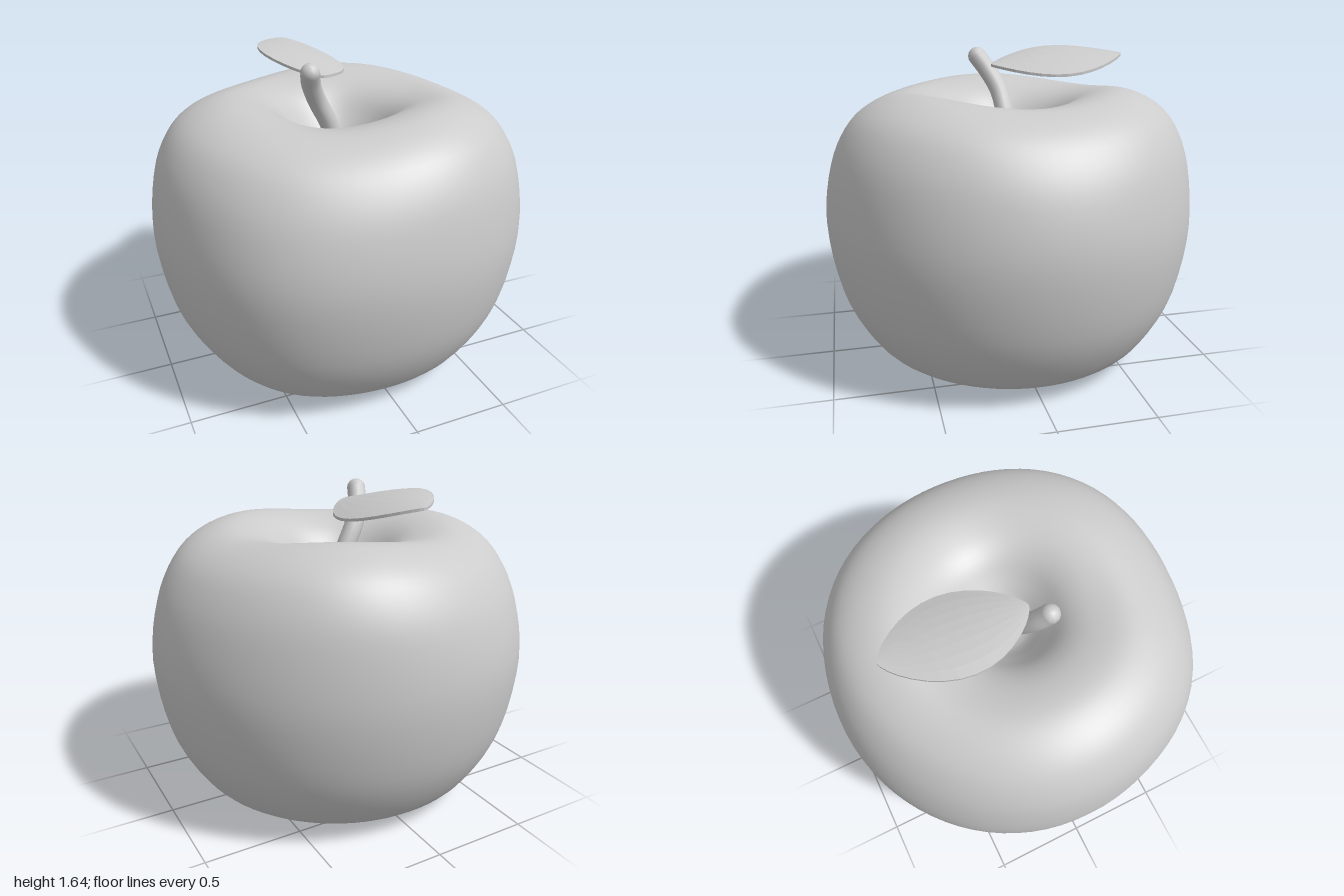
import * as THREE from 'three';
import { mergeVertices } from 'three/addons/utils/BufferGeometryUtils.js';

const material = (extra = {}) => new THREE.MeshStandardMaterial({ color: 0xcccccc, ...extra });
const rad = THREE.MathUtils.degToRad;

function addMesh(group, name, geometry, mat) {
  const mesh = new THREE.Mesh(geometry, mat);
  mesh.name = name;
  group.add(mesh);
  return mesh;
}

// Lathed fruit with a hollow at both ends, made slightly lumpy by angle
function fruitGeometry() {
  const profile = new THREE.SplineCurve([
    [0, 0.2], [0.15, 0.185], [0.3, 0.12], [0.45, 0.035], [0.57, 0.003], [0.69, 0.05], [0.81, 0.15],
    [0.94, 0.4], [1, 0.76], [0.96, 1.07], [0.87, 1.27], [0.75, 1.38], [0.59, 1.433],
    [0.43, 1.41], [0.31, 1.345], [0.21, 1.23], [0.11, 1.12], [0, 1.09],
  ].map(([r, y]) => new THREE.Vector2(r, y)));
  const points = profile.getPoints(72);
  points.forEach((p) => { p.x = Math.max(p.x, 0); p.y = Math.max(p.y, 0); });
  points[0].x = points[points.length - 1].x = 0;

  let geometry = new THREE.LatheGeometry(points, 80);
  const pos = geometry.attributes.position;
  for (let i = 0; i < pos.count; i++) {
    const x = pos.getX(i), y = pos.getY(i), z = pos.getZ(i);
    const angle = Math.atan2(z, x);
    const lobes = Math.cos(3 * (angle - rad(57)));
    const top = THREE.MathUtils.smoothstep(y, 0.8, 1.4);
    const bump = Math.exp(-(((angle - rad(130)) / rad(25)) ** 2));
    const scale = 0.99 + 0.01 * Math.cos(2 * angle) + 0.045 * bump + 0.02 * lobes * top;
    const rim = THREE.MathUtils.smoothstep(Math.hypot(x, z), 0.1, 0.5);
    pos.setXYZ(i, x * scale, y + 0.02 * lobes * top * rim, z * scale);
  }
  // Weld the seam so the shading stays smooth
  geometry.deleteAttribute('uv');
  geometry.deleteAttribute('normal');
  geometry = mergeVertices(geometry, 1e-4);
  geometry.computeVertexNormals();
  return geometry;
}

// Thin slab narrowed to an oval, tilted and gently arched
function leafGeometry() {
  const geometry = new THREE.BoxGeometry(2, 0.014, 1, 8, 1, 16);
  const pos = geometry.attributes.position;
  for (let i = 0; i < pos.count; i++) {
    const s = pos.getX(i);
    // Even steps in angle give rounded ends
    const t = (1 - Math.cos(Math.PI * (0.5 - pos.getZ(i)))) / 2;
    const arch = Math.max(Math.sin(Math.PI * t), 0);
    const width = 0.23 * Math.pow(arch, 0.7);
    const height = 1.553 + 0.05 * t + arch * (0.025 - 0.055 * s - 0.03 * s * s);
    pos.setXYZ(i, -0.1 + 0.025 * t + s * width, height + pos.getY(i), 0.07 - 0.73 * t);
  }
  geometry.computeVertexNormals();
  return geometry;
}

export function createModel() {
  const group = new THREE.Group();
  group.name = 'apple';

  addMesh(group, 'fruit', fruitGeometry(), material());

  // Curved stem rising out of the top hollow
  const stem = new THREE.Group();
  stem.name = 'stem';
  const path = new THREE.CatmullRomCurve3([
    [0.0, 1.04, 0], [-0.01, 1.16, 0], [-0.05, 1.29, 0.005],
    [-0.12, 1.42, 0.025], [-0.17, 1.52, 0.075], [-0.195, 1.595, 0.128],
  ].map((p) => new THREE.Vector3(...p)));
  addMesh(stem, 'stemShaft', new THREE.TubeGeometry(path, 24, 0.05, 12), material());
  const tip = addMesh(stem, 'stemTip', new THREE.SphereGeometry(0.05, 12, 8), material());
  tip.position.copy(path.getPoint(1));
  group.add(stem);

  addMesh(group, 'leaf', leafGeometry(), material({ flatShading: true, side: THREE.DoubleSide }));
  return group;
}
